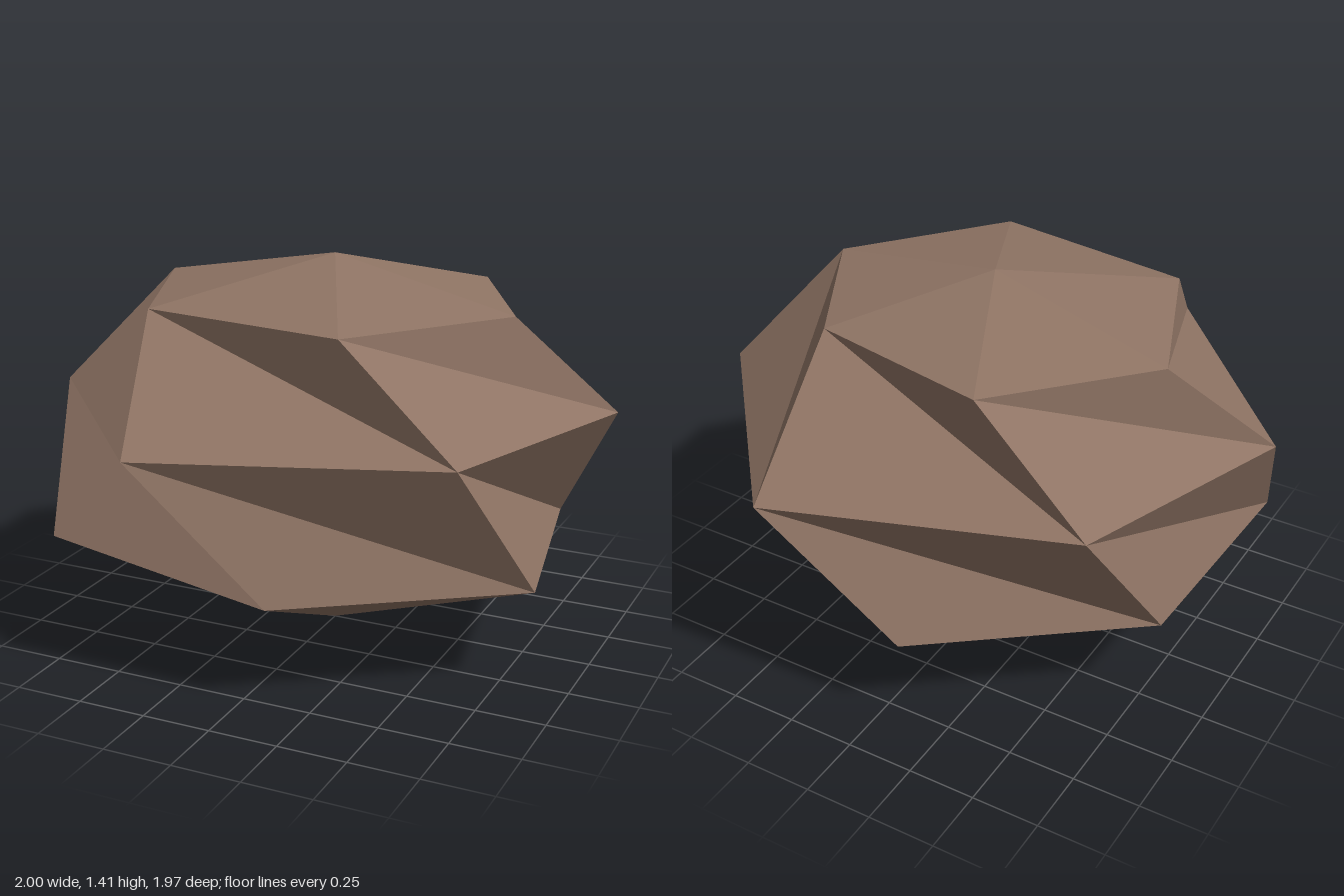
import * as THREE from 'three';

// Faceted boulder: three irregular six-sided rings, twisted and closed by two poles.
const TOP = 1.41;
const RINGS = [
  // each ring runs counter-clockwise seen from above, as [x, z]
  { y: 1.27, points: [[-0.71, -0.09], [-0.47, 0.51], [0.29, 0.61], [0.71, 0.09], [0.42, -0.44], [-0.26, -0.58]] },
  { y: 0.885, points: [[-1, 0.22], [-0.31, 0.98], [0.71, 0.62], [1, -0.21], [0.34, -0.99], [-0.7, -0.62]] },
  { y: 0.39, points: [[-0.87, 0.57], [0.13, 0.84], [0.89, 0.33], [0.73, -0.47], [-0.12, -0.855], [-0.84, -0.3]] },
];

function boulderGeometry() {
  const sides = 6;
  const positions = [0, TOP, 0];
  for (const { y, points } of RINGS) {
    for (const [x, z] of points) positions.push(x, y, z);
  }
  positions.push(0, 0, 0);
  const bottom = positions.length / 3 - 1;
  const at = (ring, i) => 1 + ring * sides + (i % sides);

  const index = [];
  for (let i = 0; i < sides; i++) {
    // top cap
    index.push(0, at(0, i), at(0, i + 1));
    // twisted bands between neighbouring rings
    for (let r = 0; r < RINGS.length - 1; r++) {
      index.push(at(r, i), at(r + 1, i), at(r + 1, i + 1));
      index.push(at(r, i), at(r + 1, i + 1), at(r, i + 1));
    }
    // pointed underside
    index.push(bottom, at(2, i + 1), at(2, i));
  }

  const indexed = new THREE.BufferGeometry();
  indexed.setAttribute('position', new THREE.Float32BufferAttribute(positions, 3));
  indexed.setIndex(index);
  const geometry = indexed.toNonIndexed();
  geometry.computeVertexNormals();
  return geometry;
}

export function createModel() {
  const stone = new THREE.MeshStandardMaterial({ color: 0x8f7464, flatShading: true });
  stone.name = 'brown stone';

  const boulder = new THREE.Mesh(boulderGeometry(), stone);
  boulder.name = 'boulder';

  const model = new THREE.Group();
  model.name = 'rock';
  model.add(boulder);
  return model;
}
